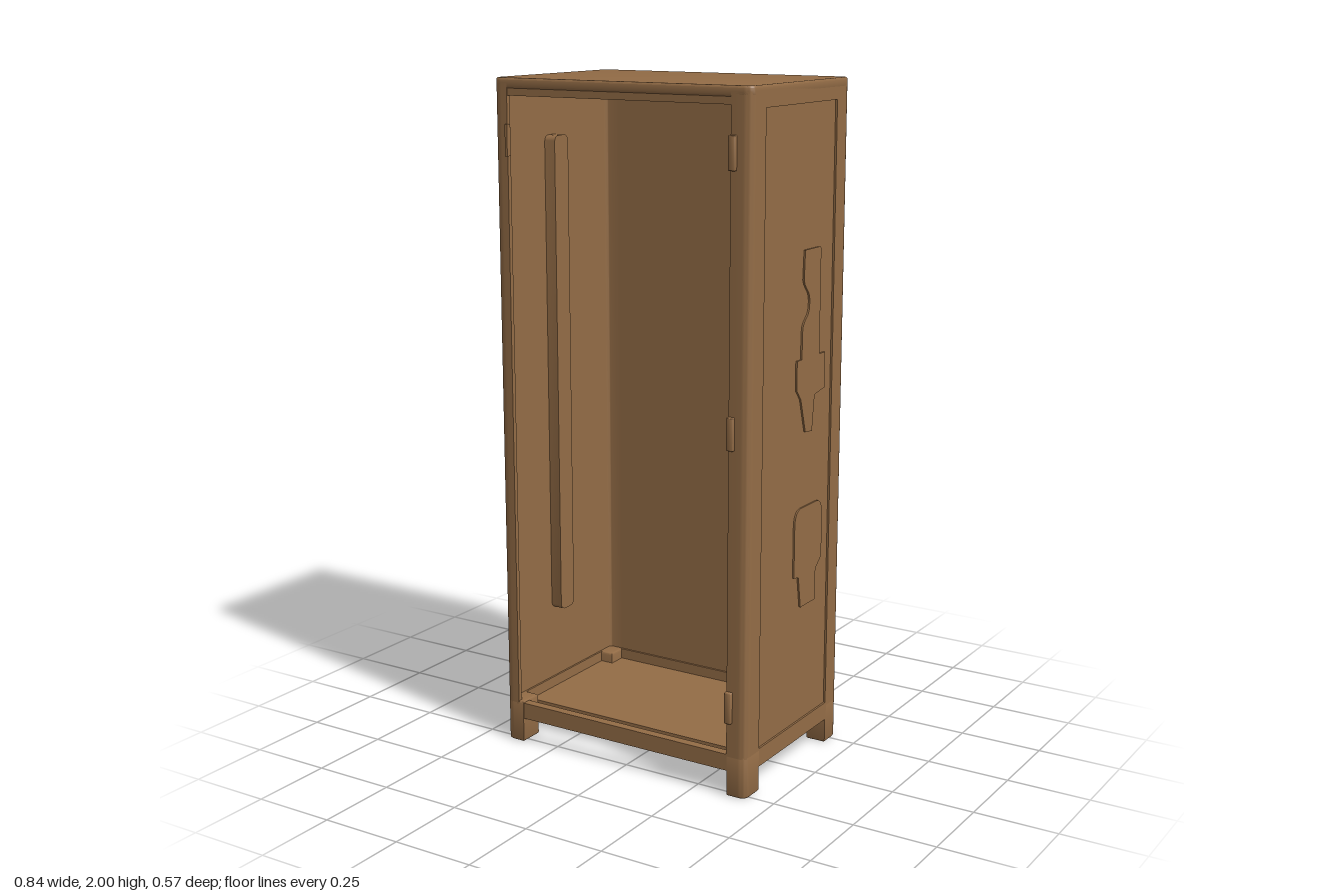
import * as THREE from 'three';
import { toCreasedNormals } from 'three/addons/utils/BufferGeometryUtils.js';

const X = 0.421, ZF = 0.275, ZB = -0.285; // outer faces of the cabinet
const T = 0.014;                          // sheet thickness
const INSET = 0.006;                      // how far panels sit behind the frame

export function createModel() {
  const group = new THREE.Group();
  const brown = new THREE.MeshStandardMaterial({ color: 0x936c46 });
  brown.name = 'brown painted steel';

  const add = (name, geo) => {
    const mesh = new THREE.Mesh(geo, brown);
    mesh.name = name;
    group.add(mesh);
    return mesh;
  };
  const box = (name, x0, x1, y0, y1, z0, z1) => {
    const g = new THREE.BoxGeometry(x1 - x0, y1 - y0, z1 - z0);
    g.translate((x0 + x1) / 2, (y0 + y1) / 2, (z0 + z1) / 2);
    return add(name, g);
  };
  // extrude a plan (x, -z) upward from y0 to y1
  const rise = (name, shape, y0, y1, bevel = 0) => {
    const g = new THREE.ExtrudeGeometry(shape, {
      depth: y1 - y0 - 2 * bevel, bevelEnabled: bevel > 0, bevelSize: bevel,
      bevelThickness: bevel, bevelOffset: -bevel, bevelSegments: 3, curveSegments: 6,
    });
    g.rotateX(-Math.PI / 2).translate(0, y0 + bevel, 0);
    return add(name, toCreasedNormals(g, 0.7));
  };
  // extrude a side outline (z, y) along x from x0 to x1
  const sideways = (name, shape, x0, x1) => {
    const g = new THREE.ExtrudeGeometry(shape, { depth: x1 - x0, bevelEnabled: false, curveSegments: 6 });
    g.rotateY(-Math.PI / 2).translate(x1, 0, 0);
    // mirror z so that the outline's first coordinate is the true z
    return add(name, toCreasedNormals(g, 0.7));
  };
  const roundRect = (a0, a1, b0, b1, r, Kind = THREE.Shape) => {
    const s = new Kind();
    s.moveTo(a0 + r, b0);
    s.lineTo(a1 - r, b0); s.quadraticCurveTo(a1, b0, a1, b0 + r);
    s.lineTo(a1, b1 - r); s.quadraticCurveTo(a1, b1, a1 - r, b1);
    s.lineTo(a0 + r, b1); s.quadraticCurveTo(a0, b1, a0, b1 - r);
    s.lineTo(a0, b0 + r); s.quadraticCurveTo(a0, b0, a0 + r, b0);
    return s;
  };

  // corner posts (L-shaped sheet) on solid feet
  const R = 0.026;
  for (const sx of [-1, 1]) for (const sz of [-1, 1]) {
    const wx = sz > 0 && sx < 0 ? 0.046 : 0.064, wz = 0.076;
    const zo = sz > 0 ? ZF : -ZB;
    const P = (dx, dz) => [sx * (X - dx), -sz * (zo - dz)];
    const outline = (w, solid) => {
      const s = new THREE.Shape();
      s.moveTo(...P(w, 0));
      s.lineTo(...P(R, 0));
      s.quadraticCurveTo(...P(0, 0), ...P(0, R));
      s.lineTo(...P(0, wz));
      if (solid) s.lineTo(...P(w, wz));
      else {
        s.lineTo(...P(T, wz));
        s.lineTo(...P(T, R));
        s.quadraticCurveTo(...P(T, T), ...P(R, T));
        s.lineTo(...P(w, T));
      }
      s.closePath();
      return s;
    };
    rise('cornerPost', outline(wx, false), 0.12, 1.985);
    rise('foot', outline(0.062, true), 0, 0.13, 0.006);
  }

  // roof and the borders below it
  rise('roof', roundRect(-X, X, -ZF, -ZB, R), 1.97, 2, 0.006);
  box('frontHeader', -0.38, 0.36, 1.95, 1.985, ZF - T, ZF - 0.003);
  box('backTopBorder', -0.36, 0.36, 1.94, 1.985, ZB, ZB + T);

  // bottom rails and floor, with an open gap behind the front rail
  box('frontRail', -0.365, 0.365, 0.075, 0.125, ZF - 0.03, ZF - 0.003);
  box('backRail', -0.365, 0.365, 0.075, 0.13, ZB, ZB + 0.02);
  box('floor', -X + 0.01, X - 0.01, 0.088, 0.098, ZB + 0.01, 0.175);
  for (const s of [-1, 1]) {
    const [a, b] = s > 0 ? [X - 0.02, X] : [-X, -X + 0.02];
    box('sideRail', a, b, 0.075, 0.13, ZB + 0.07, ZF - 0.07);
    const [c, d] = s > 0 ? [X - T, X] : [-X, -X + T];
    box('sideTopBorder', c, d, 1.94, 1.985, ZB + 0.07, ZF - 0.07);
  }

  // inset wall panels
  box('backPanel', -0.362, 0.362, 0.1, 1.975, ZB + INSET, ZB + T);
  box('rightPanel', X - T, X - INSET, 0.1, 1.975, ZB + 0.07, ZF - 0.07);
  const wall = roundRect(ZB + 0.07, ZF - 0.07, 0.1, 1.975, 0.001);
  wall.holes.push(roundRect(-0.012, 0.05, 0.36, 1.82, 0.02, THREE.Path));
  sideways('slottedPanel', wall, -X + INSET, -X + T);

  // long channel pressed inward through the slotted wall
  const sleeve = roundRect(-0.015, 0.053, 0.357, 1.823, 0.022);
  sleeve.holes.push(roundRect(-0.012, 0.05, 0.36, 1.82, 0.02, THREE.Path));
  sideways('channelSides', sleeve, -X + T, -X + 0.046);
  sideways('channelFloor', roundRect(-0.015, 0.053, 0.357, 1.823, 0.022), -X + 0.046, -X + 0.05);

  // hinge knuckles on the front opening
  for (const y of [0.27, 1.065, 1.825]) {
    rise('hinge', roundRect(0.354, 0.376, -0.286, -0.26, 0.005), y - 0.047, y + 0.047, 0.003);
  }
  box('latchStrip', -0.38, -0.372, 1.78, 1.87, ZF - 0.01, ZF + 0.006);

  // shallow equipment silhouettes on the side panel, as (z, y) outlines
  const px = X - INSET;
  const upper = new THREE.Shape();
  upper.moveTo(-0.13, 1.225);
  upper.lineTo(-0.13, 1.525);
  upper.quadraticCurveTo(-0.13, 1.535, -0.12, 1.535);
  upper.lineTo(-0.035, 1.535);
  upper.lineTo(-0.03, 1.45);
  upper.bezierCurveTo(-0.04, 1.42, -0.066, 1.42, -0.066, 1.385);
  upper.bezierCurveTo(-0.066, 1.33, -0.028, 1.35, -0.025, 1.3);
  upper.lineTo(-0.025, 1.225);
  upper.lineTo(0.003, 1.225);
  upper.lineTo(0.003, 1.14);
  upper.lineTo(-0.022, 1.11);
  upper.lineTo(-0.052, 1.01);
  upper.lineTo(-0.092, 1.005);
  upper.lineTo(-0.105, 1.11);
  upper.lineTo(-0.165, 1.12);
  upper.lineTo(-0.165, 1.225);
  upper.closePath();
  sideways('upperSilhouette', upper, px, px + 0.005);

  const lower = new THREE.Shape();
  lower.moveTo(-0.13, 0.485);
  lower.lineTo(-0.13, 0.58);
  lower.lineTo(-0.165, 0.61);
  lower.lineTo(-0.165, 0.74);
  lower.quadraticCurveTo(-0.165, 0.785, -0.13, 0.787);
  lower.lineTo(-0.035, 0.787);
  lower.quadraticCurveTo(0, 0.785, 0.002, 0.74);
  lower.lineTo(0.002, 0.585);
  lower.lineTo(-0.025, 0.58);
  lower.lineTo(-0.04, 0.485);
  lower.closePath();
  sideways('lowerSilhouette', lower, px, px + 0.005);

  return group;
}
